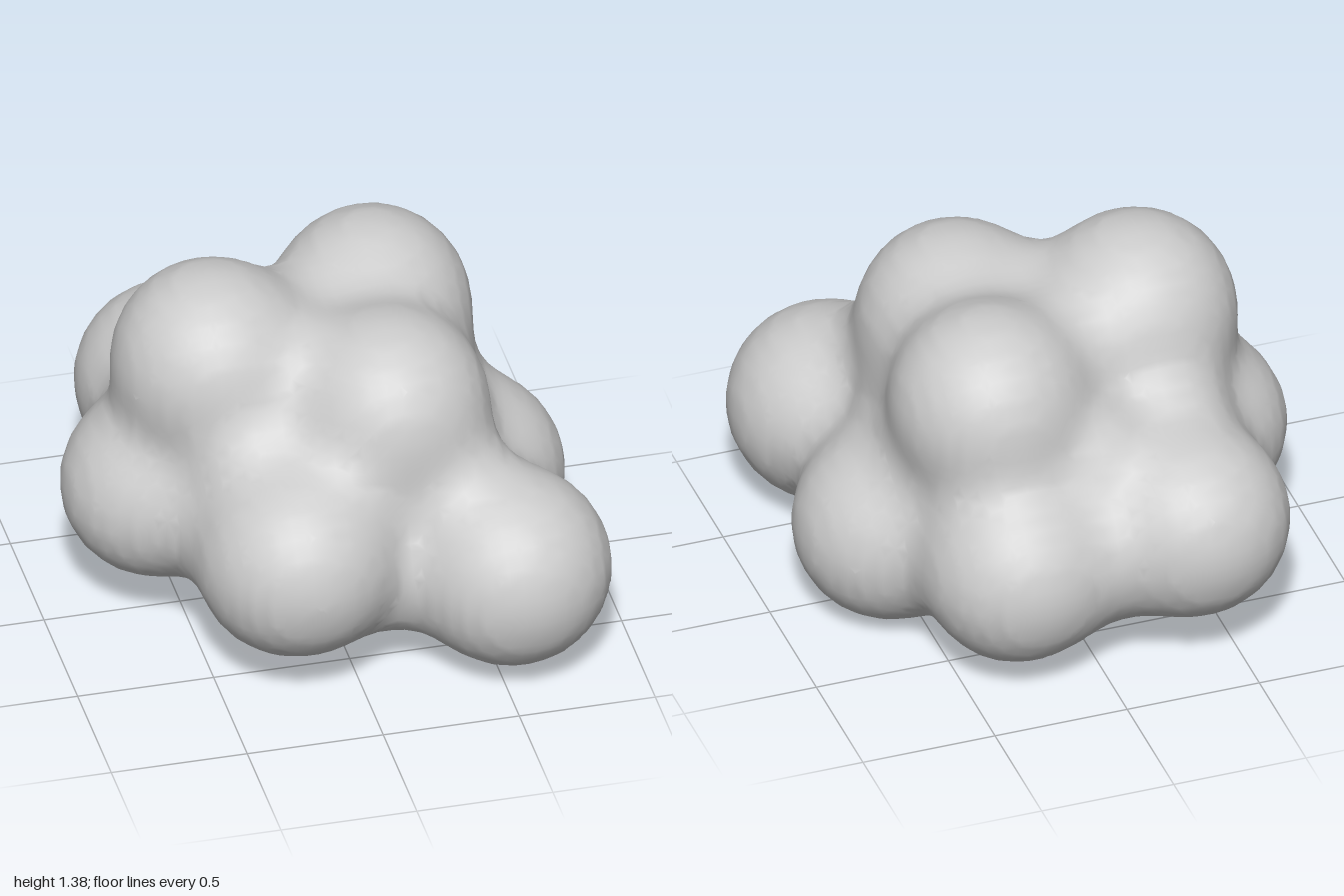
import * as THREE from 'three';

// Lobes of the cloud: x, y, z, radius
const LOBES = [
  [-0.37, 0.52, -0.65, 0.35],  // 0 back, right side
  [0.27, 0.44, -0.60, 0.345],  // 1 back, left side
  [0.575, 0.35, -0.08, 0.35],  // 2 left
  [0.56, 0.405, 0.64, 0.36],   // 3 front left
  [-0.20, 0.505, 0.55, 0.35],  // 4 front right
  [-0.58, 0.50, -0.05, 0.34],  // 5 right
  [-0.38, 1.02, -0.02, 0.36],  // 6 top right
  [0.28, 0.96, -0.31, 0.355],  // 7 top back
  [0.20, 0.92, 0.28, 0.355],   // 8 top front
];

// Neighbouring lobes, joined by a small filler halfway between them
const NEIGHBOURS = [
  [0, 1], [1, 2], [2, 3], [4, 5], [5, 0],
  [6, 7], [7, 8], [8, 6],
  [6, 0], [6, 4], [6, 5], [7, 0], [7, 1], [7, 2], [8, 2], [8, 3], [8, 4],
];
const FILLERS = NEIGHBOURS.map(([a, b]) => [
  ...[0, 1, 2].map((d) => (LOBES[a][d] + LOBES[b][d]) / 2), 0.21,
]);
// Fuller shoulder between the two left top lobes
FILLERS.push([0.29, 0.86, 0, 0.26]);

const BALLS = [...LOBES, ...FILLERS];
const BLEND = 0.05;

// Rounded slab giving a flat, slightly tilted underside
function slab(x, y, z) {
  const round = 0.18;
  const dx = Math.abs(x) - 0.48 + round;
  const dy = Math.abs(y - 0.37 + 0.1 * x) - 0.2 + round;
  const dz = Math.abs(z + 0.04) - 0.73 + round;
  const outer = Math.hypot(Math.max(dx, 0), Math.max(dy, 0), Math.max(dz, 0));
  return outer + Math.min(Math.max(dx, dy, dz), 0) - round;
}

// Smooth union of the balls, the slab and a rounded core; negative inside
function field(x, y, z) {
  const core = (Math.hypot(x / 0.5, (y - 0.57) / 0.36, (z - 0.02) / 0.55) - 1) * 0.36;
  let sum = Math.exp(-core / BLEND) + Math.exp(-slab(x, y, z) / BLEND);
  for (const [cx, cy, cz, r] of BALLS) {
    sum += Math.exp((r - Math.hypot(x - cx, y - cy, z - cz)) / BLEND);
  }
  return -BLEND * Math.log(sum);
}

// Wraps a mesh around the field: one vertex per crossed cell, one quad per crossed edge
function wrapField(cell, min, max) {
  const n = min.map((m, i) => Math.ceil((max[i] - m) / cell) + 1);
  const step = [1, n[0], n[0] * n[1]];
  const values = new Float32Array(n[0] * n[1] * n[2]);
  const at = (i, j, k) => i + j * step[1] + k * step[2];
  const each = (lo, trim, visit) => {
    for (let k = lo; k < n[2] - trim; k++)
      for (let j = lo; j < n[1] - trim; j++)
        for (let i = lo; i < n[0] - trim; i++) visit(i, j, k);
  };
  each(0, 0, (i, j, k) => {
    values[at(i, j, k)] = field(min[0] + i * cell, min[1] + j * cell, min[2] + k * cell);
  });

  const positions = [];
  const index = [];
  const vertexOf = new Map();

  // Vertices: mean of the edge crossings in each cell
  each(0, 1, (i, j, k) => {
    const sum = [0, 0, 0];
    let count = 0;
    for (let c = 0; c < 8; c++) {
      const corner = [c & 1, (c >> 1) & 1, c >> 2];
      const p = at(i + corner[0], j + corner[1], k + corner[2]);
      for (let axis = 0; axis < 3; axis++) {
        if (corner[axis]) continue;
        const a = values[p];
        const b = values[p + step[axis]];
        if ((a < 0) === (b < 0)) continue;
        for (let d = 0; d < 3; d++) sum[d] += corner[d];
        sum[axis] += a / (a - b);
        count++;
      }
    }
    if (!count) return;
    vertexOf.set(at(i, j, k), positions.length / 3);
    [i, j, k].forEach((g, d) => positions.push(min[d] + (g + sum[d] / count) * cell));
  });

  // Faces
  each(1, 1, (i, j, k) => {
    const p = at(i, j, k);
    for (let axis = 0; axis < 3; axis++) {
      const inside = values[p] < 0;
      if (inside === (values[p + step[axis]] < 0)) continue;
      const b = step[(axis + 1) % 3];
      const c = step[(axis + 2) % 3];
      const q = [p - b - c, p - c, p, p - b].map((id) => vertexOf.get(id));
      if (!inside) q.reverse();
      index.push(q[0], q[1], q[2], q[0], q[2], q[3]);
    }
  });

  const geometry = new THREE.BufferGeometry();
  geometry.setAttribute('position', new THREE.Float32BufferAttribute(positions, 3));
  geometry.setIndex(index);
  geometry.computeVertexNormals();
  return geometry;
}

export function createModel() {
  const group = new THREE.Group();
  group.name = 'cloud';

  const puffs = new THREE.Mesh(
    wrapField(0.05, [-1.1, -0.2, -1.2], [1.1, 1.6, 1.2]),
    new THREE.MeshStandardMaterial({ color: 0xcccccc })
  );
  puffs.name = 'cloudPuffs';
  group.add(puffs);
  return group;
}
